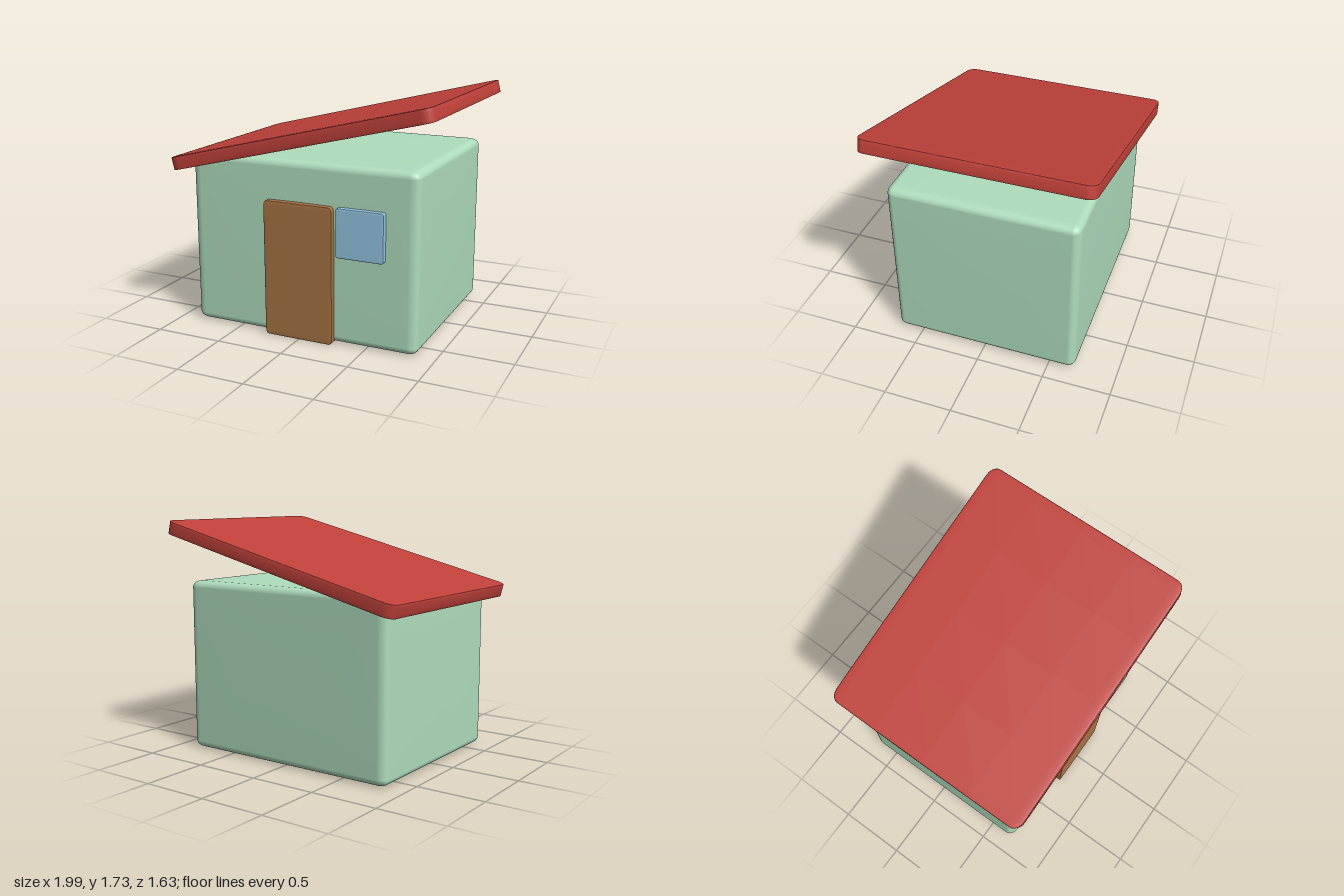
import * as THREE from 'three';
import { mergeVertices } from 'three/addons/utils/BufferGeometryUtils.js';

// Soft unit cube: rounded edges and very slightly swollen faces
function softCube(r = 0.04) {
  const stops = [-0.5, -0.487, -0.473, -0.46, -0.25, 0, 0.25, 0.46, 0.473, 0.487, 0.5];
  const n = stops.length - 1;
  const box = new THREE.BoxGeometry(1, 1, 1, n, n, n);
  box.deleteAttribute('uv');
  box.deleteAttribute('normal');
  const geo = mergeVertices(box, 1e-4);
  const pos = geo.attributes.position;
  const p = new THREE.Vector3(), core = new THREE.Vector3();
  const remap = (v) => stops[Math.round((v + 0.5) * n)];
  const swell = (a, b) => 0.994 + 0.006 * (1 - 4 * a * a) * (1 - 4 * b * b);
  for (let i = 0; i < pos.count; i++) {
    p.fromBufferAttribute(pos, i);
    p.set(remap(p.x), remap(p.y), remap(p.z));
    core.copy(p).clampScalar(r - 0.5, 0.5 - r);
    p.sub(core).setLength(r).add(core);
    pos.setXYZ(i, p.x * swell(p.y, p.z), p.y * swell(p.x, p.z), p.z * swell(p.x, p.y));
  }
  return geo;
}

export function createModel() {
  const house = new THREE.Group();
  house.name = 'house';

  function part(name, color, size, position, tilt = 0) {
    const geo = softCube();
    geo.scale(...size);
    geo.computeVertexNormals();
    const mesh = new THREE.Mesh(geo, new THREE.MeshStandardMaterial({ color }));
    mesh.name = name;
    mesh.position.set(...position);
    mesh.rotation.z = tilt;
    house.add(mesh);
  }

  part('walls', 0xaedcbc, [1.75, 1.285, 1.395], [0, 0.645, 0]);
  // Single-pitch roof, high on the left side
  part('roof', 0xc0413a, [2.04, 0.1, 1.635], [0, 1.44, 0], 0.243);
  part('door', 0xa67344, [0.525, 0.998, 0.09], [0, 0.5, 0.695]);
  part('window', 0x93c4e0, [0.35, 0.35, 0.09], [0.467, 0.825, 0.695]);

  return house;
}
